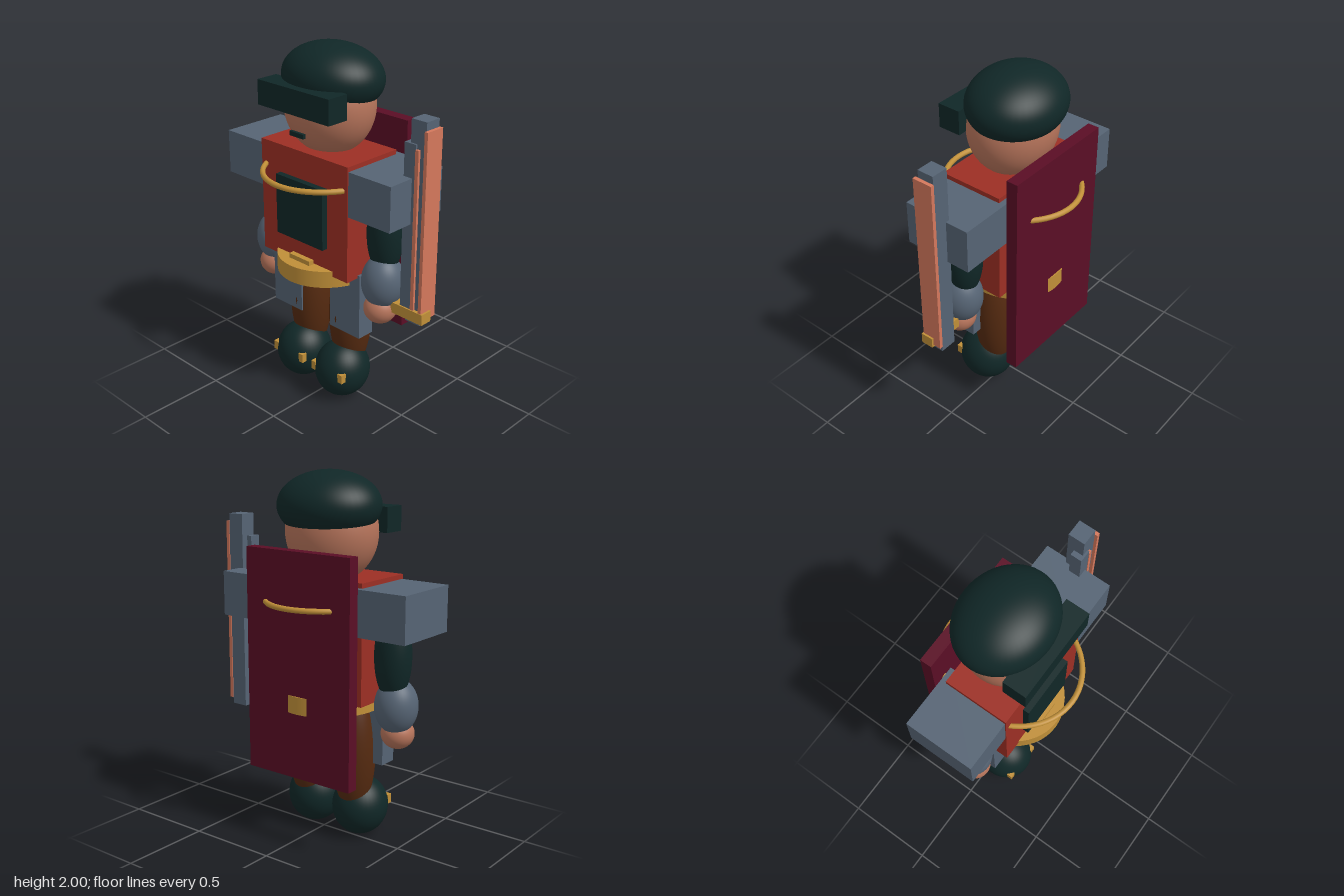
import * as THREE from 'three';

const mat = (name, color) => {
  const m = new THREE.MeshStandardMaterial({ color });
  m.name = name;
  return m;
};

export function createModel() {
  const teal = mat('darkTeal', 0x102727);
  const steel = mat('steelGrey', 0x566474);
  const red = mat('tunicRed', 0x9c2f24);
  const maroon = mat('capeMaroon', 0x5a0e25);
  const skin = mat('skin', 0xb5735a);
  const gold = mat('gold', 0xc08f38);
  const brown = mat('trouserBrown', 0x552a10);
  const copper = mat('copper', 0xd4785c);

  const model = new THREE.Group();
  model.name = 'soldier';
  const figure = new THREE.Group();
  figure.name = 'figure';
  figure.position.x = -0.053;
  model.add(figure);

  const add = (parent, name, geometry, material, x, y, z) => {
    const mesh = new THREE.Mesh(geometry, material);
    mesh.name = name;
    mesh.position.set(x, y, z);
    parent.add(mesh);
    return mesh;
  };
  // Box from its minimum and maximum corners
  const box = (parent, name, material, [x0, y0, z0], [x1, y1, z1]) =>
    add(parent, name, new THREE.BoxGeometry(x1 - x0, y1 - y0, z1 - z0), material,
      (x0 + x1) / 2, (y0 + y1) / 2, (z0 + z1) / 2);
  // Ellipsoid from its centre and radii
  const ball = (parent, name, material, [x, y, z], [rx, ry, rz]) =>
    add(parent, name, new THREE.SphereGeometry(1, 40, 28).scale(rx, ry, rz), material, x, y, z);

  // Head and face
  ball(figure, 'head', skin, [0, 1.68, -0.003], [0.256, 0.27, 0.23]);
  box(figure, 'mouth', teal, [-0.05, 1.552, 0.222], [0.05, 1.576, 0.24]);

  // Beret: cut ellipsoid tipped back, with a blocky peak
  const cap = new THREE.SphereGeometry(1, 48, 28, 0, Math.PI * 2, 0, Math.PI * 0.66);
  const beret = add(figure, 'beret', cap.scale(0.29, 0.18, 0.247), teal, 0, 1.82, -0.028);
  beret.rotation.x = -0.08;
  teal.side = THREE.DoubleSide;
  box(figure, 'beretPeak', teal, [-0.255, 1.675, 0.135], [0.255, 1.81, 0.265]);

  // Torso
  ball(figure, 'body', teal, [0, 1.0, -0.01], [0.3, 0.39, 0.195]);
  box(figure, 'tunic', red, [-0.318, 0.815, -0.17], [0.318, 1.46, 0.195]);
  box(figure, 'chestPanel', teal, [-0.172, 0.965, 0.19], [0.172, 1.305, 0.23]);
  box(figure, 'cape', maroon, [-0.337, 0.39, -0.298], [0.337, 1.605, -0.233]);

  // Collar chain and belt
  const ring = new THREE.TorusGeometry(0.377, 0.015, 12, 64).rotateX(Math.PI / 2);
  add(figure, 'collarChain', ring.scale(0.885, 1, 1), gold, 0, 1.325, -0.003);
  const band = new THREE.CylinderGeometry(1, 1, 1, 48);
  add(figure, 'belt', band.scale(0.28, 0.095, 0.303), gold, 0, 0.797, -0.003);
  box(figure, 'beltBuckle', gold, [-0.077, 0.725, 0.203], [0.077, 0.87, 0.235]);

  for (const s of [-1, 1]) {
    const side = s > 0 ? 'left' : 'right';
    // Mirrored box, given by its centre and size
    const block = (name, m, [x, y, z], [w, h, d]) =>
      add(figure, side + name, new THREE.BoxGeometry(w, h, d), m, s * x, y, z);
    const round = (name, m, [x, y, z], r) => ball(figure, side + name, m, [s * x, y, z], r);

    round('Eye', steel, [0.088, 1.685, 0.208], [0.028, 0.028, 0.02]);

    // Arm
    block('ShoulderPlate', steel, [0.4175, 1.312, -0.006], [0.36, 0.245, 0.392]);
    round('UpperArm', teal, [0.4, 1.07, -0.005], [0.1, 0.25, 0.095]);
    round('Forearm', steel, [0.41, 0.797, 0.017], [0.116, 0.15, 0.119]);
    round('Hand', skin, [0.41, 0.643, 0.035], [0.09, 0.083, 0.09]);

    // Leg
    block('HipPlate', steel, [0.222, 0.64, 0.062], [0.22, 0.38, 0.105]);
    round('Leg', brown, [0.155, 0.5, -0.005], [0.119, 0.36, 0.12]);
    round('Boot', teal, [0.155, 0.17, 0.058], [0.153, 0.166, 0.16]);
    for (const dx of [-0.102, 0.102]) {
      block('BootClasp', gold, [0.155 + dx, 0.191, 0.172], [0.034, 0.052, 0.033]);
    }
  }

  // Slab weapon held upright at the left side
  const weapon = new THREE.Group();
  weapon.name = 'weapon';
  model.add(weapon);
  box(weapon, 'mainBlade', steel, [0.522, 0.63, -0.07], [0.617, 1.735, 0.024]);
  box(weapon, 'innerBlade', steel, [0.492, 0.69, -0.03], [0.562, 1.613, 0.035]);
  box(weapon, 'innerEdge', copper, [0.562, 0.71, -0.03], [0.583, 1.588, 0.038]);
  box(weapon, 'outerEdge', copper, [0.617, 0.665, -0.074], [0.637, 1.692, 0.04]);
  box(weapon, 'guard', gold, [0.437, 0.652, -0.028], [0.648, 0.713, 0.044]);

  return model;
}
